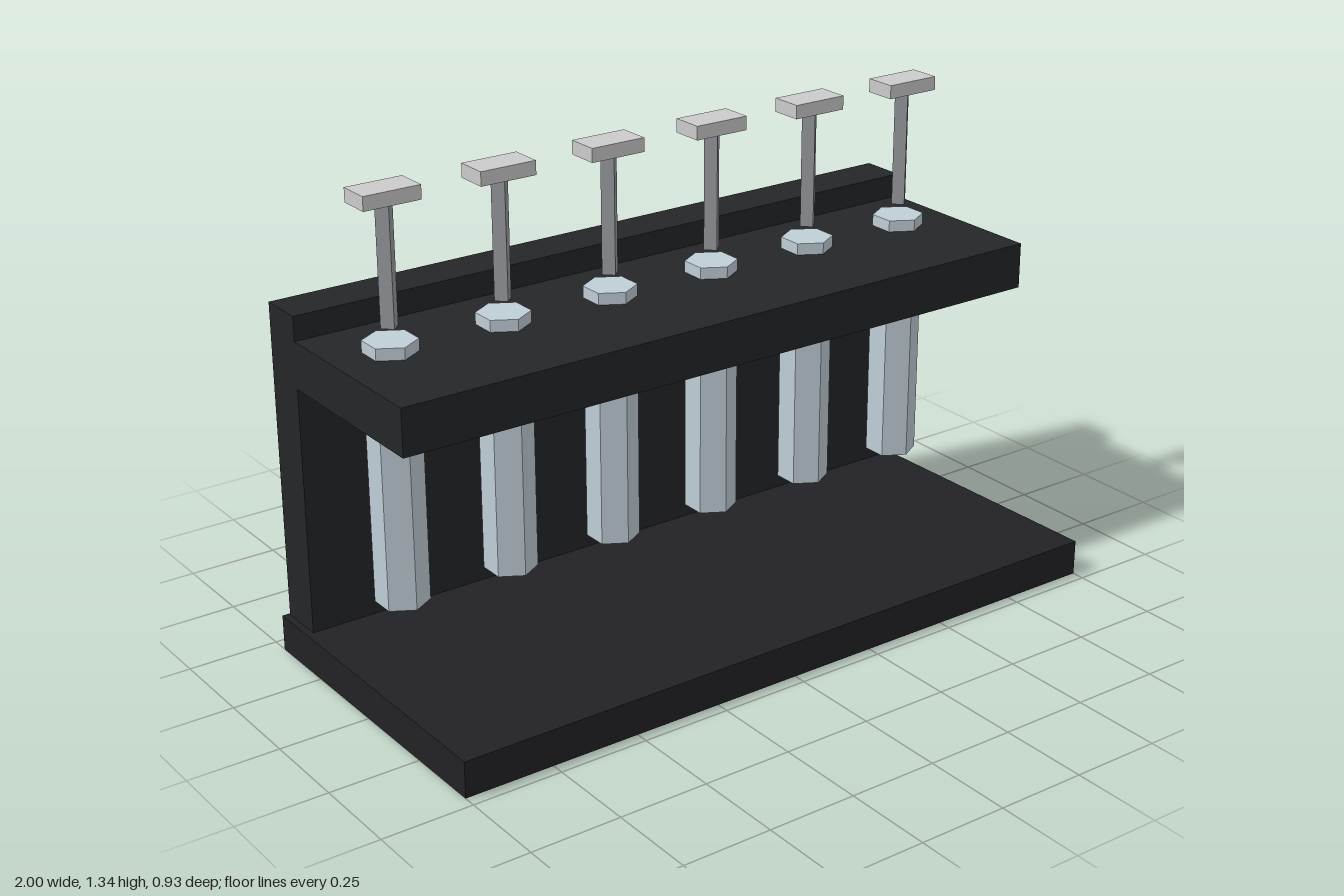
import * as THREE from 'three';

const mat = (color) => new THREE.MeshStandardMaterial({ color, flatShading: true });

function add(parent, name, geometry, material, x, y, z) {
  const mesh = new THREE.Mesh(geometry, material);
  mesh.name = name;
  mesh.position.set(x, y, z);
  parent.add(mesh);
  return mesh;
}

// Box given by its extents along y and z, centred on x = 0
function slab(parent, name, width, y0, y1, z0, z1, material) {
  return add(parent, name, new THREE.BoxGeometry(width, y1 - y0, z1 - z0), material,
    0, (y0 + y1) / 2, (z0 + z1) / 2);
}

export function createModel() {
  const model = new THREE.Group();
  model.name = 'tubeRack';

  const black = mat(0x242628);
  const baseBlack = mat(0x222226);
  const glass = mat(0xc0ced6);
  const steel = mat(0x96999e);
  const white = mat(0xcccccc);

  // Base plate, slightly out of square at the back right corner
  const outline = new THREE.Shape([[-1, -0.465], [1, -0.465], [0.98, 0.465], [-1, 0.45]]
    .map(([x, y]) => new THREE.Vector2(x, y)));
  const plate = new THREE.ExtrudeGeometry(outline, { depth: 0.1, bevelEnabled: false });
  plate.rotateX(-Math.PI / 2);
  add(model, 'base', plate, baseBlack, 0, 0, 0);

  // Upright back panel and the shelf that holds the tubes
  slab(model, 'backPanel', 1.96, 0.1, 0.98, -0.445, -0.317, black);
  slab(model, 'shelf', 1.96, 0.785, 0.913, -0.317, 0.205, black);

  // Row of six hexagonal tubes, each with a plunger rod and flat handle above
  const tubeGeo = new THREE.CylinderGeometry(0.071, 0.071, 0.715, 6);
  const rodGeo = new THREE.CylinderGeometry(0.025, 0.025, 0.322, 4);
  const handleGeo = new THREE.BoxGeometry(0.16, 0.038, 0.09);
  for (let i = 0; i < 6; i++) {
    const unit = new THREE.Group();
    unit.name = `plungerUnit${i + 1}`;
    unit.position.set(-0.82 + i * 0.3266, 0, -0.12);
    add(unit, 'tube', tubeGeo, glass, 0, 0.5875, 0);
    add(unit, 'rod', rodGeo, steel, 0, 1.139, 0);
    add(unit, 'handle', handleGeo, white, 0, 1.319, 0);
    model.add(unit);
  }
  return model;
}
